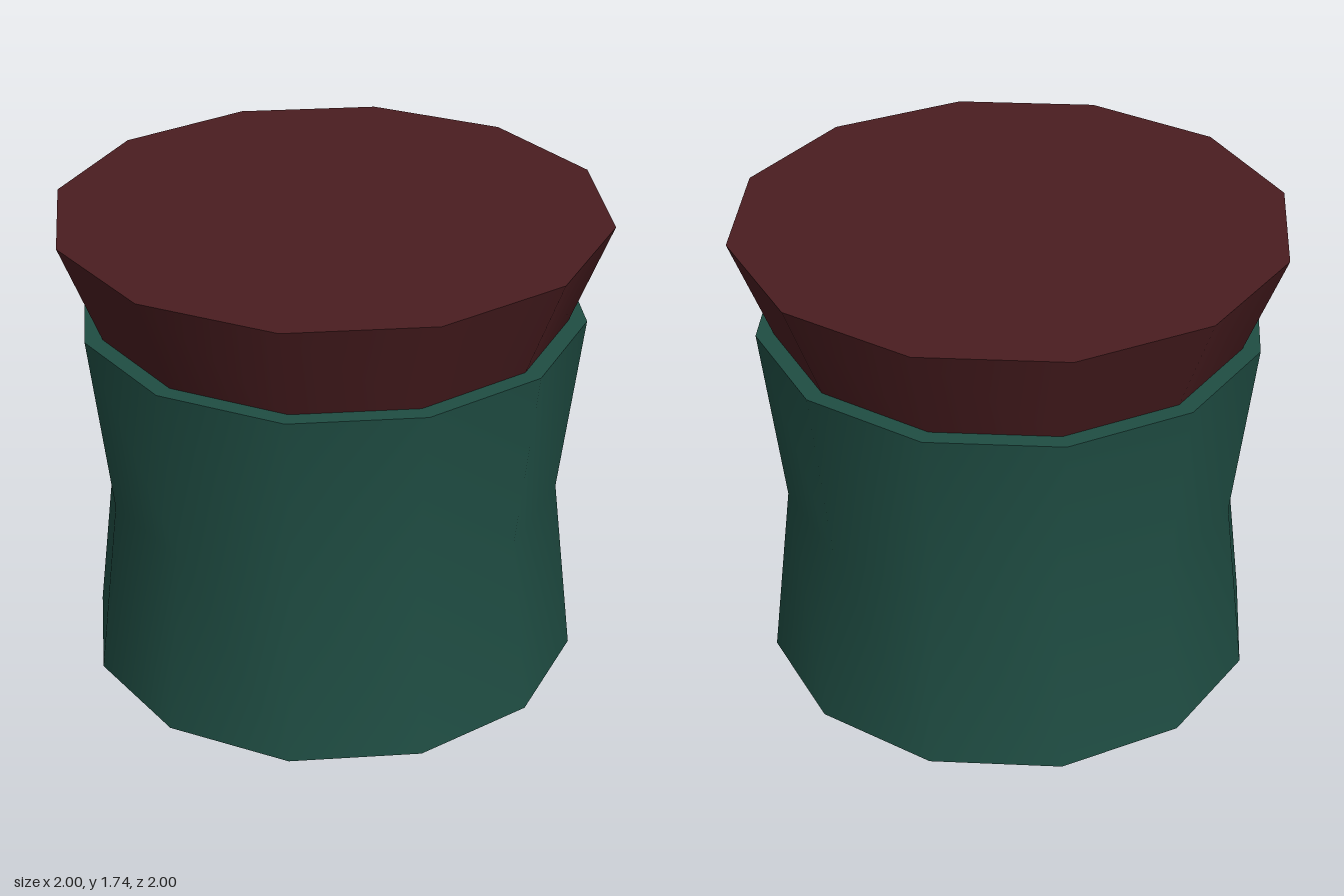
import * as THREE from 'three';

const SIDES = 12;

// Closed twelve-sided solid: smooth wall turned from [radius, y] points, with flat ends
function turnedPart(name, color, profile) {
  const part = new THREE.Group();
  part.name = name;
  const material = new THREE.MeshStandardMaterial({ color });

  const points = profile.map(([r, y]) => new THREE.Vector2(r, y));
  const wall = new THREE.Mesh(new THREE.LatheGeometry(points, SIDES), material);
  wall.name = name + 'Wall';
  part.add(wall);

  const ends = [[profile[0], 1, 'Bottom'], [profile[profile.length - 1], -1, 'Top']];
  for (const [[r, y], dir, label] of ends) {
    const disc = new THREE.CircleGeometry(r, SIDES).rotateX(dir * Math.PI / 2);
    const end = new THREE.Mesh(disc, material);
    end.name = name + label;
    end.position.y = y;
    part.add(end);
  }
  return part;
}

export function createModel() {
  const model = new THREE.Group();
  model.name = 'pot';
  // Waisted body
  model.add(turnedPart('body', 0x1f4d43, [[0.92, 0], [0.84, 0.685], [0.92, 1.37]]));
  // Flared lid, seated slightly into the body
  model.add(turnedPart('lid', 0x4a1d20, [[0.851, 1.36], [1, 1.74]]));
  return model;
}
